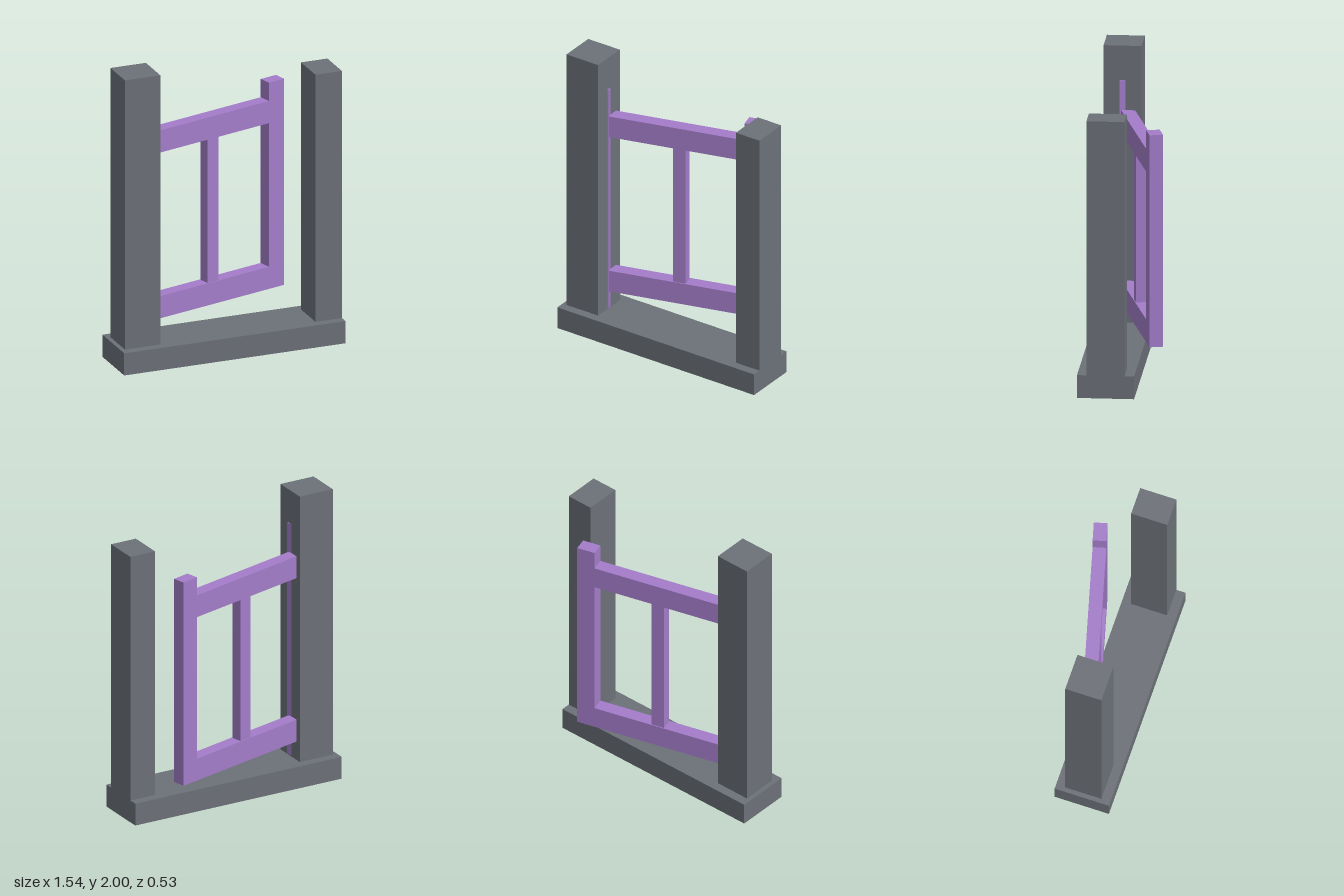
import * as THREE from 'three';

export function createModel() {
  const model = new THREE.Group();
  model.name = 'gateway';

  const stone = new THREE.MeshStandardMaterial({ color: 0x6c7178 });
  stone.name = 'slate grey';
  const paint = new THREE.MeshStandardMaterial({ color: 0xa47dca });
  paint.name = 'purple';

  // Box given by its extents on each axis
  function addBox(parent, name, material, [x0, x1], [y0, y1], [z0, z1]) {
    const mesh = new THREE.Mesh(new THREE.BoxGeometry(x1 - x0, y1 - y0, z1 - z0), material);
    mesh.position.set((x0 + x1) / 2, (y0 + y1) / 2, (z0 + z1) / 2);
    mesh.name = name;
    parent.add(mesh);
  }

  // Threshold and the two unequal posts
  addBox(model, 'base', stone, [-0.77, 0.767], [0, 0.152], [-0.104, 0.264]);
  addBox(model, 'tallPost', stone, [-0.74, -0.494], [0.152, 2], [-0.042, 0.203]);
  addBox(model, 'shortPost', stone, [0.583, 0.767], [0.152, 1.848], [-0.042, 0.203]);

  // Gate leaf, swung open towards the back from the tall post
  const gate = new THREE.Group();
  gate.name = 'gate';
  gate.position.set(-0.494, 0, 0.045);
  gate.rotation.y = THREE.MathUtils.degToRad(15);
  model.add(gate);

  const depth = [-0.044, 0.044];
  // Hinge stile sits almost wholly inside the post
  addBox(gate, 'hingeStile', paint, [-0.125, -0.0045], [0.16, 1.77], [-0.056, 0.056]);
  addBox(gate, 'latchStile', paint, [0.92, 1.043], [0.28, 1.695], depth);
  addBox(gate, 'lowerRail', paint, [-0.06, 0.92], [0.28, 0.432], depth);
  addBox(gate, 'upperRail', paint, [-0.06, 0.92], [1.418, 1.57], depth);
  addBox(gate, 'middleBar', paint, [0.428, 0.516], [0.432, 1.418], [-0.038, 0.038]);

  return model;
}
